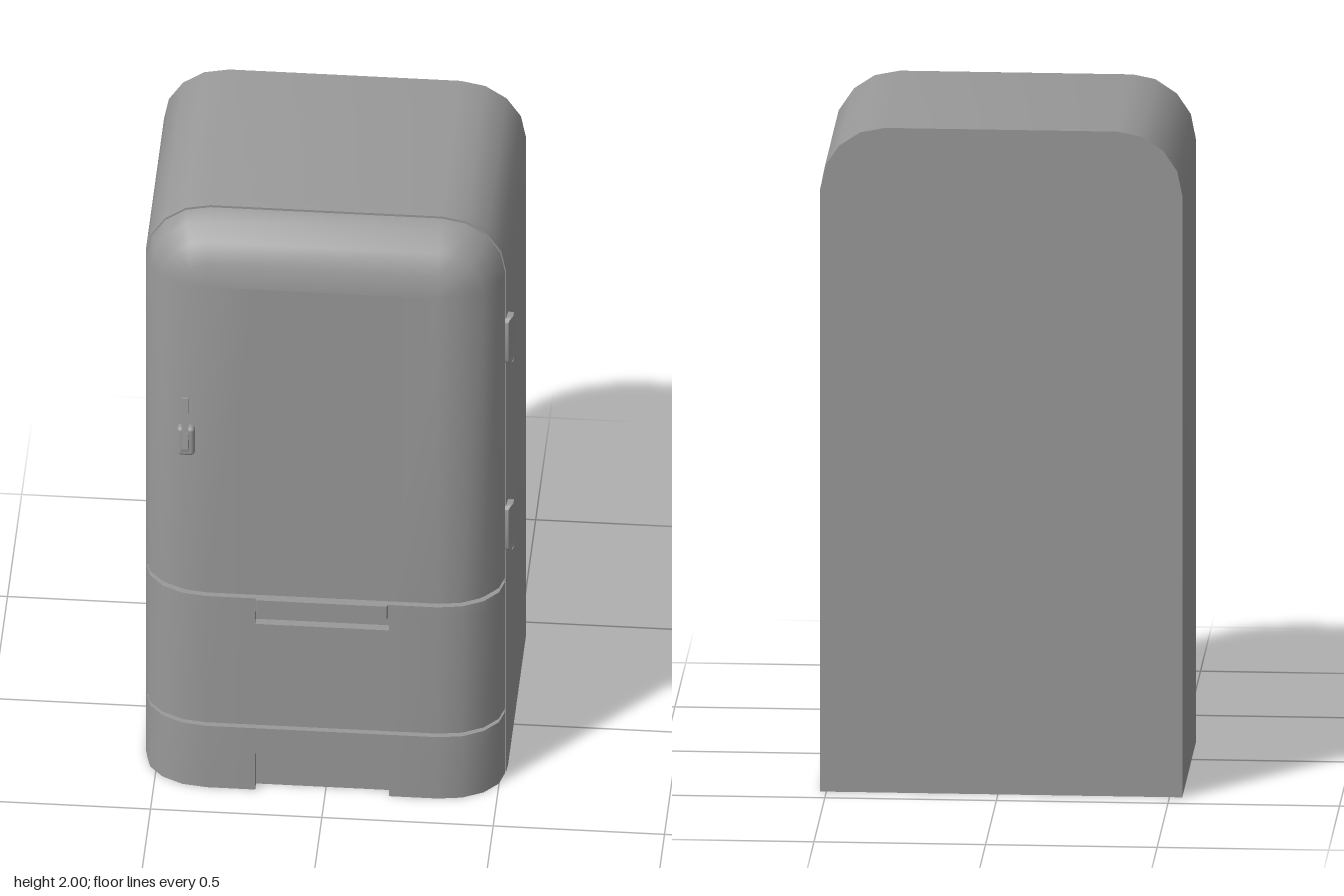
import * as THREE from 'three';
import { mergeGeometries, toCreasedNormals } from 'three/addons/utils/BufferGeometryUtils.js';
import { RoundedBoxGeometry } from 'three/addons/geometries/RoundedBoxGeometry.js';

const CX = -0.0095;    // cabinet centre line
const C = 0.338;       // corner arc centres at x = +-C
const CY = 1.81;       // corner arc centres at this height
const R = 0.19;        // cabinet corner radius
const RD = 0.185;      // front panel edge rounding, sideways
const BACK = -0.43, SEAM = 0.231, DOOR = 0.238, FRONT = 0.38;
const STEPS = 4;

const grey = new THREE.MeshStandardMaterial({ color: 0x999999 });
const shellGrey = new THREE.MeshStandardMaterial({ color: 0x999999, side: THREE.DoubleSide });

// Skin a list of equally long point rows
function loft(rows) {
  const n = rows[0].length, pos = [];
  const tri = (a, b, c) => {
    const area = b.clone().sub(a).cross(c.clone().sub(a)).length();
    if (area > 1e-8) pos.push(...a.toArray(), ...b.toArray(), ...c.toArray());
  };
  for (let r = 0; r + 1 < rows.length; r++) {
    for (let i = 0; i + 1 < n; i++) {
      const a = rows[r][i], b = rows[r][i + 1], c = rows[r + 1][i + 1], d = rows[r + 1][i];
      tri(a, b, c);
      tri(a, c, d);
    }
  }
  const g = new THREE.BufferGeometry();
  g.setAttribute('position', new THREE.Float32BufferAttribute(pos, 3));
  return g;
}

// Corner arcs over the top, from right to left, with radius r at depth z
function crown(r, z) {
  const pts = [];
  for (const [side, start] of [[1, 0], [-1, Math.PI / 2]]) {
    for (let i = 0; i <= STEPS; i++) {
      const b = start + (i / STEPS) * Math.PI / 2;
      pts.push(new THREE.Vector3(side * C + r * Math.cos(b), CY + r * Math.sin(b), z));
    }
  }
  return pts;
}

// Crown with straight legs down to the floor
const arch = (r, z) => [
  new THREE.Vector3(C + r, 0, z), ...crown(r, z), new THREE.Vector3(-C - r, 0, z),
];

// Plan section of the front at height y; inset makes a groove, dent a centre recess
function plan(y, inset = 0, dent = 0) {
  const left = [], w = 0.195, z = FRONT - inset;
  for (let i = 0; i <= STEPS; i++) {
    const a = (i / STEPS) * Math.PI / 2;
    left.push([-C - (RD - inset) * Math.cos(a), DOOR + (z - DOOR) * Math.sin(a)]);
  }
  left.push([-w, z], [-w, z - dent]);
  const right = left.map(([x, d]) => [-x, d]).reverse();
  return [...left, ...right].map(([x, d]) => new THREE.Vector3(x, y, d));
}

// Thin plate with round corners, its outer face sloping back towards the door
function hingeGeometry() {
  const w = 0.027, h = 0.081, r = 0.018;
  const s = new THREE.Shape();
  s.absarc(w - r, h - r, r, 0, Math.PI / 2);
  s.absarc(r - w, h - r, r, Math.PI / 2, Math.PI);
  s.absarc(r - w, r - h, r, Math.PI, Math.PI * 1.5);
  s.absarc(w - r, r - h, r, Math.PI * 1.5, Math.PI * 2);
  const g = new THREE.ExtrudeGeometry(s, { depth: 0.025, bevelEnabled: false, curveSegments: 5 });
  g.rotateY(Math.PI / 2);
  const p = g.attributes.position;
  for (let i = 0; i < p.count; i++) {
    if (p.getX(i) > 0.01) p.setX(i, p.getX(i) - Math.max(0, p.getZ(i) - 0.008) * 0.7);
  }
  return toCreasedNormals(g, 0.5);
}

export function createModel() {
  const model = new THREE.Group();
  const add = (name, geometry, x, y, z, material = grey) => {
    const mesh = new THREE.Mesh(geometry, material);
    mesh.name = name;
    mesh.position.set(x, y, z);
    model.add(mesh);
    return mesh;
  };

  // Cabinet walls, open below, ending in the sunk seam behind the door
  const walls = loft([
    arch(R, BACK), arch(R, SEAM - 0.03), arch(R - 0.003, SEAM), arch(R - 0.018, SEAM),
    arch(R - 0.018, DOOR), arch(RD, DOOR),
  ]);
  add('cabinet', toCreasedNormals(walls, 0.7), CX, 0, 0, shellGrey);

  // Flat back
  const outline = new THREE.Shape(arch(R, 0).map((p) => new THREE.Vector2(p.x, p.y)));
  const back = add('backPanel', new THREE.ShapeGeometry(outline), CX, 0, BACK, shellGrey);
  back.rotation.y = Math.PI;

  // Base panel with toe recess, drawer with finger recess, and door, parted by grooves
  const front = loft([
    plan(0, 0, 0.03), plan(0.13, 0, 0.03), plan(0.13),
    plan(0.222), plan(0.222, 0.018), plan(0.235, 0.018), plan(0.235),
    plan(0.6), plan(0.6, 0, 0.025), plan(0.645, 0, 0.025), plan(0.645),
    plan(0.692), plan(0.692, 0.018), plan(0.708, 0.018), plan(0.708),
    plan(CY),
  ]);
  // Rounded top of the door
  const domeRows = [];
  for (let i = 0; i <= STEPS; i++) {
    const a = (i / STEPS) * Math.PI / 2;
    domeRows.push(crown(RD * Math.cos(a), DOOR + (FRONT - DOOR) * Math.sin(a)));
  }
  const frontShell = mergeGeometries([front, loft(domeRows)]);
  add('doorAndDrawerFront', toCreasedNormals(frontShell, 0.7), CX, 0, 0, shellGrey);

  // Drawer pull lip with slanted ends
  const lip = new THREE.Shape([
    [-0.196, -0.37], [-0.189, -0.389], [0.189, -0.389], [0.196, -0.37],
  ].map(([x, z]) => new THREE.Vector2(x, z)));
  const pull = new THREE.ExtrudeGeometry(lip, { depth: 0.047, bevelEnabled: false });
  pull.rotateX(-Math.PI / 2);
  add('drawerPull', pull, CX, 0.645, 0);

  // Hinges on the left side
  for (const y of [0.882, 1.56]) add('hinge', hingeGeometry(), 0.511, y, 0.214);

  // Door handle: mounting plate and tapered lever rooted in it
  const hx = -0.406;
  add('handlePlate', new RoundedBoxGeometry(0.052, 0.1, 0.034, 3, 0.012), hx, 1.255, 0.378);
  const side = new THREE.Shape([
    [0.385, 1.275], [0.385, 1.25], [0.405, 1.247], [0.430, 1.247], [0.432, 1.258],
    [0.411, 1.425], [0.405, 1.425], [0.414, 1.275],
  ].map(([z, y]) => new THREE.Vector2(-z, y)));
  const lever = new THREE.ExtrudeGeometry(side, { depth: 0.02, bevelEnabled: false });
  lever.translate(0, 0, -0.01).rotateY(Math.PI / 2);
  add('handleLever', lever, hx, 0, 0);

  return model;
}
